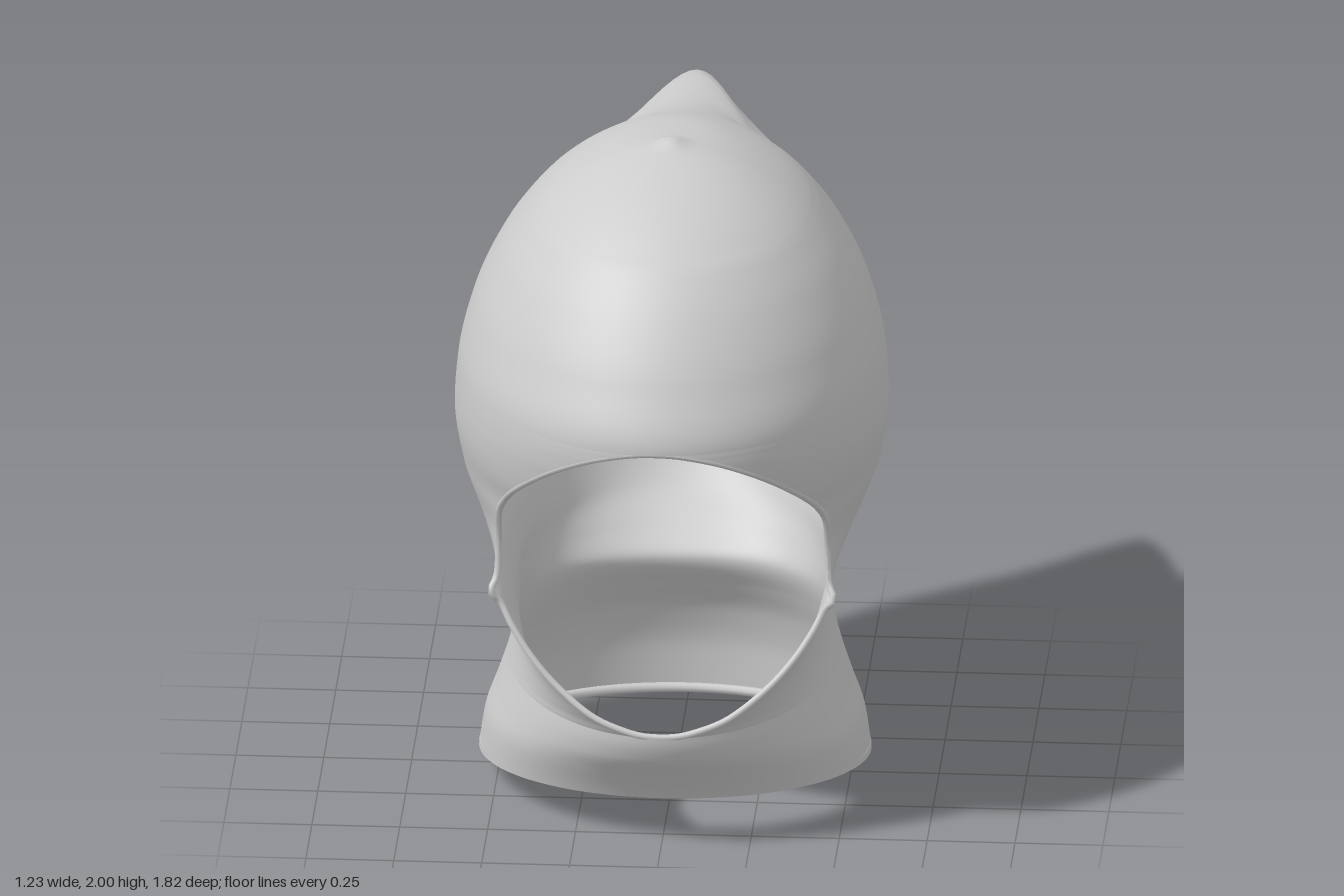
import * as THREE from 'three';
import { mergeVertices } from 'three/addons/utils/BufferGeometryUtils.js';

// Horizontal sections: height, front z, widest z, back z, half width, back roundness
const SECTIONS = [
  [0.066, 0.55, 0.0, -0.57, 0.557, 1],
  [0.18, 0.62, 0.0, -0.565, 0.54, 1],
  [0.28, 0.67, 0.0, -0.53, 0.505, 0.95],
  [0.37, 0.69, -0.01, -0.465, 0.475, 0.9],
  [0.47, 0.65, -0.03, -0.41, 0.45, 0.87],
  [0.55, 0.62, -0.02, -0.48, 0.44, 0.9],
  [0.63, 0.58, 0.02, -0.58, 0.44, 0.95],
  [0.74, 0.56, 0.07, -0.67, 0.465, 1],
  [0.83, 0.53, 0.1, -0.72, 0.51, 1],
  [0.93, 0.53, 0.12, -0.75, 0.555, 1],
  [1.05, 0.6, 0.14, -0.765, 0.595, 1],
  [1.2, 0.78, 0.15, -0.78, 0.615, 1],
  [1.33, 0.91, 0.15, -0.805, 0.606, 1],
  [1.5, 0.843, 0.15, -0.845, 0.566, 1],
  [1.66, 0.74, 0.15, -0.893, 0.493, 1],
  [1.765, 0.645, 0.15, -0.91, 0.42, 1],
  [1.785, 0.622, 0.15, -0.74, 0.403, 1],
  [1.8, 0.6, 0.15, -0.61, 0.39, 1],
  [1.85, 0.525, 0.15, -0.41, 0.335, 1],
  [1.91, 0.41, 0.15, -0.24, 0.245, 1],
  [1.95, 0.305, 0.15, -0.11, 0.16, 1],
  [1.968, 0.24, 0.15, 0.03, 0.1, 1],
  [1.977, 0.21, 0.15, 0.1, 0.055, 1],
  [2.0, 0.16, 0.16, 0.16, 0, 1],
];

// Face opening edge: height, half width, z
const OPENING = [
  [0.37, 0, 0.69], [0.373, 0.05, 0.689], [0.385, 0.1, 0.685], [0.42, 0.19, 0.67],
  [0.5, 0.3, 0.63], [0.58, 0.375, 0.6], [0.66, 0.43, 0.57], [0.72, 0.462, 0.55],
  [0.75, 0.488, 0.56], [0.79, 0.473, 0.53], [0.9, 0.468, 0.52], [1.0, 0.464, 0.56],
  [1.05, 0.447, 0.6], [1.13, 0.4, 0.695], [1.23, 0.295, 0.81], [1.29, 0.19, 0.873],
  [1.315, 0.115, 0.897], [1.327, 0.055, 0.907], [1.33, 0, 0.91],
];

// Monotone cubic lookup in a table whose first column is the height
function sample(table, s, col) {
  const n = table.length - 1;
  let i = 0;
  while (i < n - 1 && s > table[i + 1][0]) i++;
  const slope = k => (table[k + 1][col] - table[k][col]) / (table[k + 1][0] - table[k][0]);
  const tangent = k => {
    if (k === 0) return slope(0);
    if (k === n) return slope(n - 1);
    const a = slope(k - 1), b = slope(k);
    return a * b <= 0 ? 0 : (2 * a * b) / (a + b);
  };
  const h = table[i + 1][0] - table[i][0];
  const t = THREE.MathUtils.clamp((s - table[i][0]) / h, 0, 1);
  const t2 = t * t, t3 = t2 * t;
  return (2 * t3 - 3 * t2 + 1) * table[i][col] + (t3 - 2 * t2 + t) * h * tangent(i)
    + (3 * t2 - 2 * t3) * table[i + 1][col] + (t3 - t2) * h * tangent(i + 1);
}

// How far the spike draws the egg-shaped back of the head out to reach the section's back z
function spikePull(s, back) {
  if (s < 1.2) return 0;
  const eggBack = 0.15 - 0.93 * Math.sqrt(Math.max(0, 1 - ((s - 1.2) / 0.78) ** 2));
  return Math.max(0, eggBack - back);
}

// Point on the +x half of the hood; u runs from the front (0) over the side (0.5) to the back (1)
function hoodPoint(s, u) {
  const [front, mid, back, w, e] = [1, 2, 3, 4, 5].map(c => sample(SECTIONS, s, c));
  const open = s > 0.37 && s < 1.33;
  const edgeX = open ? sample(OPENING, s, 1) : 0;
  const edgeZ = open ? sample(OPENING, s, 2) : front;
  let x, z;
  if (u <= 0.5) {
    const k = u * 2;
    const t0 = w > 0 ? Math.asin(Math.min(edgeX / w, 0.92)) : 0;
    const t = t0 + (Math.PI / 2 - t0) * k;
    x = w * Math.sin(t) + (edgeX - w * Math.sin(t0)) * (1 - k) ** 2;
    z = mid + (edgeZ - mid) * Math.cos(t) / Math.cos(t0);
  } else {
    const t = (u - 0.5) * Math.PI;
    const pull = spikePull(s, back);
    // the spike narrows above its tip
    const radius = 0.38 - 0.17 * THREE.MathUtils.smoothstep(s, 1.66, 1.8);
    x = u === 1 ? 0 : w * Math.cos(t) ** e;
    z = mid + (back + pull - mid) * Math.sin(t)
      - pull * (1 - THREE.MathUtils.smoothstep(x, 0, radius));
  }
  // the neck opening slopes down to the back
  const tilt = 0.116 * (1 - THREE.MathUtils.smoothstep(s, 0.066, 0.37));
  return new THREE.Vector3(x, s + tilt * z, z);
}

// All row heights: every table height plus even steps between them
function rowHeights() {
  const keys = [...new Set([...SECTIONS, ...OPENING].map(r => r[0]))].sort((a, b) => a - b);
  const rows = [];
  for (let i = 0; i < keys.length - 1; i++) {
    const steps = Math.max(2, Math.ceil((keys[i + 1] - keys[i]) / 0.015));
    for (let k = 0; k < steps; k++) rows.push(keys[i] + (keys[i + 1] - keys[i]) * k / steps);
  }
  return [...rows, keys[keys.length - 1]];
}

// Fabric shell, running from the front over the left side, back and right side to the front
function hoodGeometry() {
  const rows = rowHeights(), half = 64, cols = half * 2;
  const positions = [], index = [];
  for (const s of rows) {
    for (let j = 0; j <= cols; j++) {
      const p = hoodPoint(s, (j <= half ? j : cols - j) / half);
      positions.push(j <= half ? p.x : -p.x, p.y, p.z);
    }
  }
  for (let i = 0; i < rows.length - 1; i++) {
    for (let j = 0; j < cols; j++) {
      const a = i * (cols + 1) + j, c = a + cols + 1;
      index.push(a, a + 1, c, a + 1, c + 1, c);
    }
  }
  const raw = new THREE.BufferGeometry();
  raw.setAttribute('position', new THREE.Float32BufferAttribute(positions, 3));
  raw.setIndex(index);
  const geometry = mergeVertices(raw, 1e-5);
  geometry.computeVertexNormals();
  return geometry;
}

// Rolled hem along a mirrored half outline that starts and ends on x = 0
function hemGeometry(halfPoints, radius) {
  const mirrored = halfPoints.slice(1, -1).reverse().map(p => new THREE.Vector3(-p.x, p.y, p.z));
  const curve = new THREE.CatmullRomCurve3([...halfPoints, ...mirrored], true);
  return new THREE.TubeGeometry(curve, 160, radius, 8, true);
}

export function createModel() {
  const group = new THREE.Group();
  group.name = 'hood';
  const fabric = new THREE.MeshStandardMaterial({ color: 0xcccccc, side: THREE.DoubleSide });
  fabric.name = 'grey fabric';

  const add = (name, geometry) => {
    const mesh = new THREE.Mesh(geometry, fabric);
    mesh.name = name;
    group.add(mesh);
  };

  add('hoodShell', hoodGeometry());

  // face hem, set slightly inside the edge
  add('faceOpeningHem', hemGeometry(
    OPENING.map(([y, x, z]) => new THREE.Vector3(x, y, z - 0.01)), 0.01));

  // neck hem, inside the lower edge
  const neck = [];
  for (let j = 0; j <= 24; j++) {
    const p = hoodPoint(0.066, j / 24);
    neck.push(new THREE.Vector3(p.x * 0.975, p.y + 0.014, p.z * 0.975));
  }
  add('neckHem', hemGeometry(neck, 0.014));

  return group;
}
